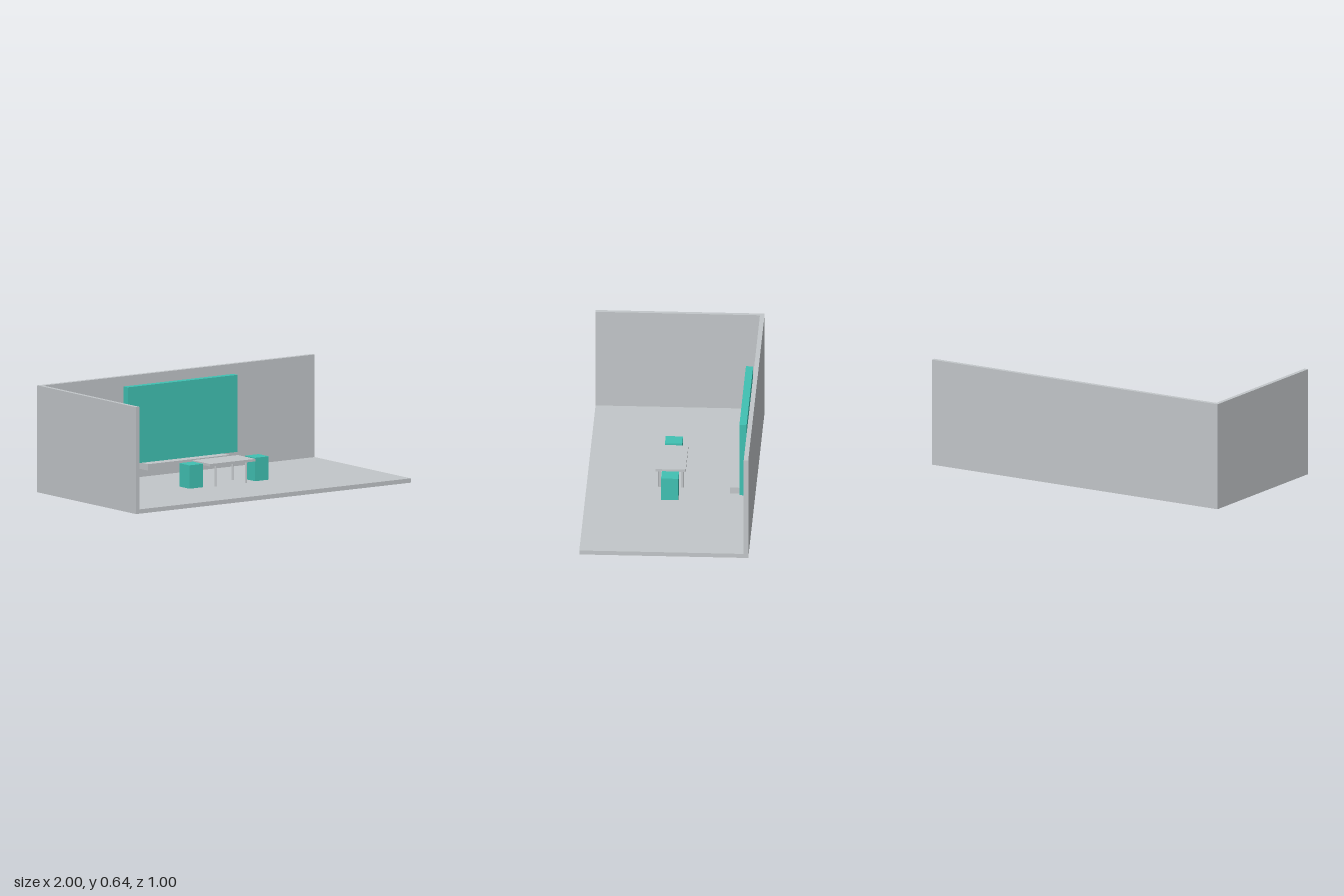
import * as THREE from 'three';

const grey = new THREE.MeshStandardMaterial({ color: 0xc2c6c9 });
grey.name = 'light grey';
const teal = new THREE.MeshStandardMaterial({ color: 0x40c1b3 });
teal.name = 'teal';

// Box given by its extents along each axis
function box(name, material, [x0, x1], [y0, y1], [z0, z1]) {
  const mesh = new THREE.Mesh(new THREE.BoxGeometry(x1 - x0, y1 - y0, z1 - z0), material);
  mesh.position.set((x0 + x1) / 2, (y0 + y1) / 2, (z0 + z1) / 2);
  mesh.name = name;
  return mesh;
}

export function createModel() {
  const model = new THREE.Group();
  model.name = 'room';
  const floorTop = 0.026;

  // Room shell: floor, back wall and one side wall
  model.add(
    box('floor', grey, [-1, 1], [0, floorTop], [-0.5, 0.5]),
    box('backWall', grey, [-1, 1], [floorTop, 0.64], [-0.5, -0.473]),
    box('sideWall', grey, [-1, -0.975], [floorTop, 0.64], [-0.473, 0.5])
  );

  // Wall panel and the shelf below it
  model.add(
    box('wallPanel', teal, [-0.4, 0.4], [0.121, 0.582], [-0.461, -0.418]),
    box('shelf', grey, [-0.297, 0.297], [0.082, 0.12], [-0.447, -0.358])
  );

  // Table with four thin round legs
  const table = new THREE.Group();
  table.name = 'table';
  table.add(box('tableTop', grey, [-0.165, 0.165], [0.152, 0.167], [-0.089, 0.089]));
  const legHeight = 0.152 - floorTop;
  const legGeometry = new THREE.CylinderGeometry(0.007, 0.007, legHeight, 16);
  for (const x of [-0.111, 0.111]) {
    for (const z of [-0.069, 0.069]) {
      const leg = new THREE.Mesh(legGeometry, grey);
      leg.position.set(x, floorTop + legHeight / 2, z);
      leg.name = 'tableLeg';
      table.add(leg);
    }
  }
  model.add(table);

  // A block stool at each end of the table
  for (const side of [-1, 1]) {
    const x = side * 0.239;
    model.add(box(side > 0 ? 'leftStool' : 'rightStool', teal,
      [x - 0.05, x + 0.05], [floorTop, 0.166], [-0.051, 0.051]));
  }
  return model;
}
